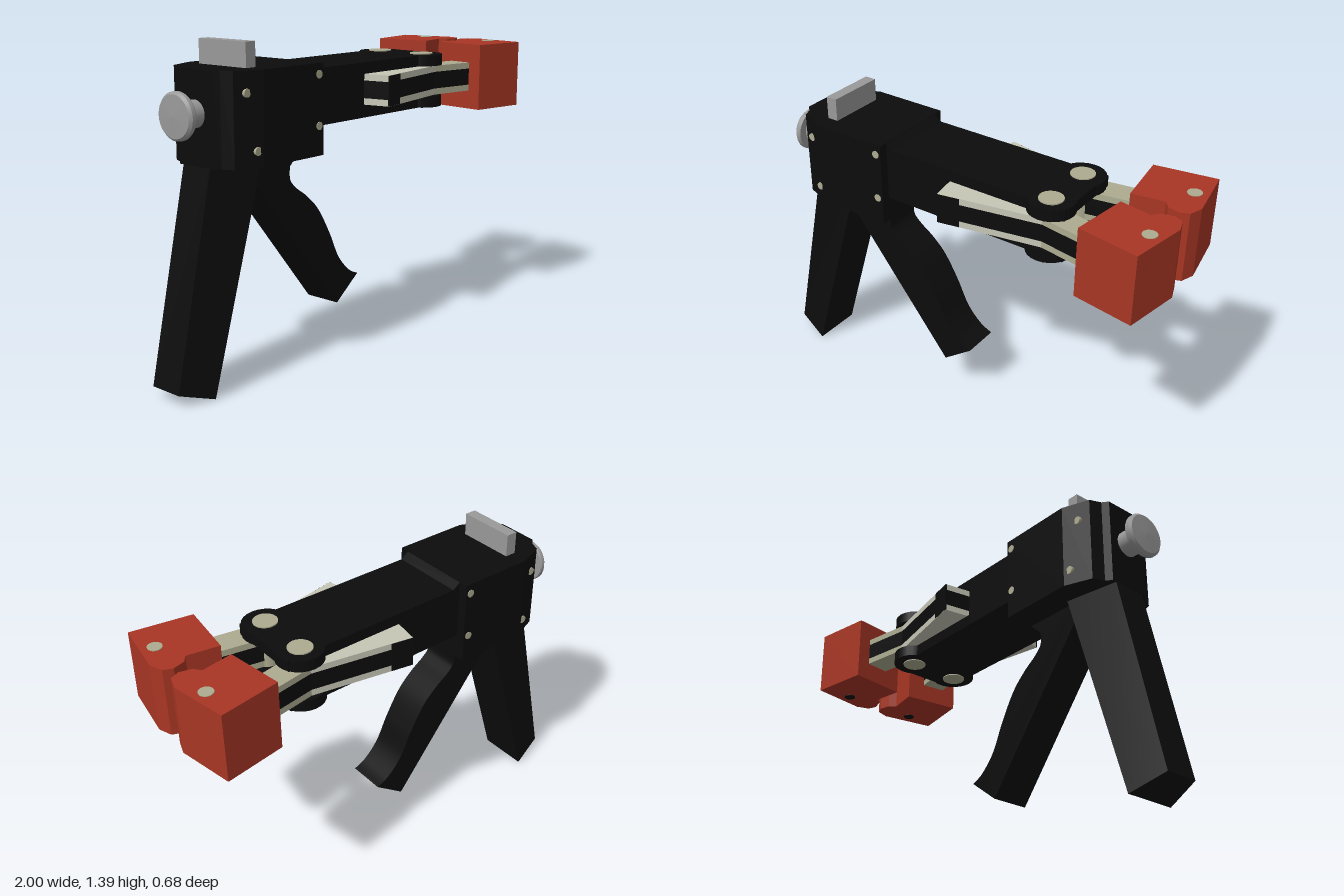
import * as THREE from 'three';

const mat = (name, color) => {
  const m = new THREE.MeshStandardMaterial({ color });
  m.name = name;
  return m;
};

export function createModel() {
  const group = new THREE.Group();
  const black = mat('black plastic', 0x0c0c0c);
  const red = mat('red jaw', 0xa83624);
  const grey = mat('grey metal', 0x999999);
  const khaki = mat('khaki metal', 0xadab90);
  const pale = mat('pale metal', 0xc6c6b6);

  const add = (name, geo, material, x = 0, y = 0, z = 0) => {
    const mesh = new THREE.Mesh(geo, material);
    mesh.name = name;
    mesh.position.set(x, y, z);
    group.add(mesh);
    return mesh;
  };
  const box = (name, m, x0, x1, y0, y1, z0, z1) => add(name,
    new THREE.BoxGeometry(x1 - x0, y1 - y0, z1 - z0), m, (x0 + x1) / 2, (y0 + y1) / 2, (z0 + z1) / 2);
  // plan outline [x, z] extruded upward; side mirrors it in z
  const plan = (name, m, pts, y0, y1, side = 1) => {
    const shape = new THREE.Shape(pts.map(([x, z]) => new THREE.Vector2(x, -z * side)));
    const geo = new THREE.ExtrudeGeometry(shape, { depth: y1 - y0, bevelEnabled: false });
    return add(name, geo.rotateX(-Math.PI / 2), m, 0, y0, 0);
  };
  // side outline extruded symmetrically about z = 0
  const profile = (name, m, shape, half) => add(name,
    new THREE.ExtrudeGeometry(shape, { depth: half * 2, bevelEnabled: false, curveSegments: 24 }), m, 0, 0, -half);
  const disc = (name, m, r, x, y0, y1, z) => add(name,
    new THREE.CylinderGeometry(r, r, y1 - y0, 24), m, x, (y0 + y1) / 2, z);

  // receiver with a chamfered rear
  const half = [[-0.31, 0.21], [-0.65, 0.21], [-0.765, 0.165], [-0.785, 0.115], [-0.81, 0.095]];
  plan('body', black, [...half, ...half.map(([x, z]) => [x, -z]).reverse()], 0.915, 1.29);

  // rear grip: wider towards the front
  const grip = new THREE.BoxGeometry(1, 1, 1);
  const p = grip.attributes.position;
  for (let i = 0; i < p.count; i++) {
    const front = p.getX(i) > 0, top = p.getY(i) > 0;
    const x = top ? (front ? -0.567 : -0.805) : (front ? -0.845 : -1);
    const y = top ? 0.93 : (front ? 0.003 : 0.055);
    p.setXYZ(i, x, y, Math.sign(p.getZ(i)) * (front ? 0.115 : 0.075));
  }
  grip.computeVertexNormals();
  add('grip', grip, black);

  // wavy trigger lever
  const t = new THREE.Shape();
  t.moveTo(-0.6, 0.93);
  t.lineTo(-0.592, 0.84);
  t.lineTo(-0.08, 0.2);
  t.lineTo(0.06, 0.305);
  t.splineThru([[0.0, 0.335], [-0.07, 0.41], [-0.13, 0.53], [-0.2, 0.645], [-0.27, 0.715],
    [-0.34, 0.765], [-0.375, 0.805], [-0.377, 0.86]].map(([x, y]) => new THREE.Vector2(x, y)));
  t.lineTo(-0.32, 0.915);
  t.lineTo(-0.32, 0.93);
  profile('trigger', black, t, 0.085);

  // barrel: solid root, then open between two plates
  const root = new THREE.Shape([[-0.4, 1.027], [0.0, 1.027], [0.0, 1.263], [-0.275, 1.263],
    [-0.31, 1.288], [-0.4, 1.288]].map(([x, y]) => new THREE.Vector2(x, y)));
  profile('barrelRoot', black, root, 0.168);
  for (const [y0, y1] of [[1.027, 1.078], [1.214, 1.263]])
    box('barrelPlate', black, -0.01, 0.56, y0, y1, -0.168, 0.168);
  box('barrelCore', black, -0.01, 0.4, 1.07, 1.22, -0.05, 0.05);

  for (const s of [1, -1]) {
    // pivot lobes with their pins
    for (const [y0, y1] of [[1.027, 1.078], [1.214, 1.263]]) disc('pivotLobe', black, 0.1, 0.47, y0, y1, 0.115 * s);
    disc('pivotPin', khaki, 0.052, 0.47, 1.022, 1.268, 0.12 * s);

    // rear lever and front arm, both layered around a black core
    const lever = [[0.035, 0.277], [0.005, 0.1], [0.4, 0.055], [0.5, 0.19]];
    const arm = [[0.42, 0.07], [0.72, 0.122], [0.72, 0.234], [0.45, 0.19]];
    for (const [y0, y1] of [[1.08, 1.108], [1.184, 1.212]]) {
      plan('lever', pale, lever, y0, y1, s);
      plan('arm', khaki, arm, y0, y1, s);
    }
    plan('leverCore', black, lever, 1.108, 1.184, s);
    plan('armCore', black, arm, 1.108, 1.184, s);
    // dark edge cover at the lever's tail
    plan('leverTail', black, [[0.033, 0.279], [0.13, 0.261], [0.13, 0.254], [0.033, 0.272]], 1.081, 1.211, s);

    // jaw block with a rounded nose
    plan('jaw', red, [[0.725, 0.037], [0.865, 0.06], [0.888, 0.03], [0.94, 0.016], [0.98, 0.032],
      [1.0, 0.09], [0.957, 0.338], [0.69, 0.295]], 0.995, 1.297, s);
    disc('jawPin', khaki, 0.03, 0.925, 1.29, 1.3, 0.185 * s);
    disc('jawHole', black, 0.026, 0.925, 0.992, 1.0, 0.185 * s);

    // side screws
    for (const [x, y, z] of [[-0.715, 1.205, 0.19], [-0.335, 1.245, 0.213], [-0.335, 1.037, 0.213], [-0.675, 0.98, 0.205]])
      add('screw', new THREE.CylinderGeometry(0.017, 0.017, 0.03, 16).rotateX(Math.PI / 2), khaki, x, y, (z - 0.015) * s);
  }

  // rear sight and plunger knob
  box('rearSight', grey, -0.663, -0.612, 1.28, 1.39, -0.131, 0.131);
  const knob = [[0, 0], [0.055, 0], [0.055, 0.085], [0.092, 0.085], [0.095, 0.09],
    [0.095, 0.105], [0.085, 0.116], [0, 0.12]].map(([r, y]) => new THREE.Vector2(r, y));
  // each profile segment is lathed on its own to keep the rims crisp
  for (let i = 0; i < knob.length - 1; i++)
    add('knob', new THREE.LatheGeometry([knob[i], knob[i + 1]], 28).rotateZ(Math.PI / 2), grey, -0.8, 1.12, 0);

  return group;
}
